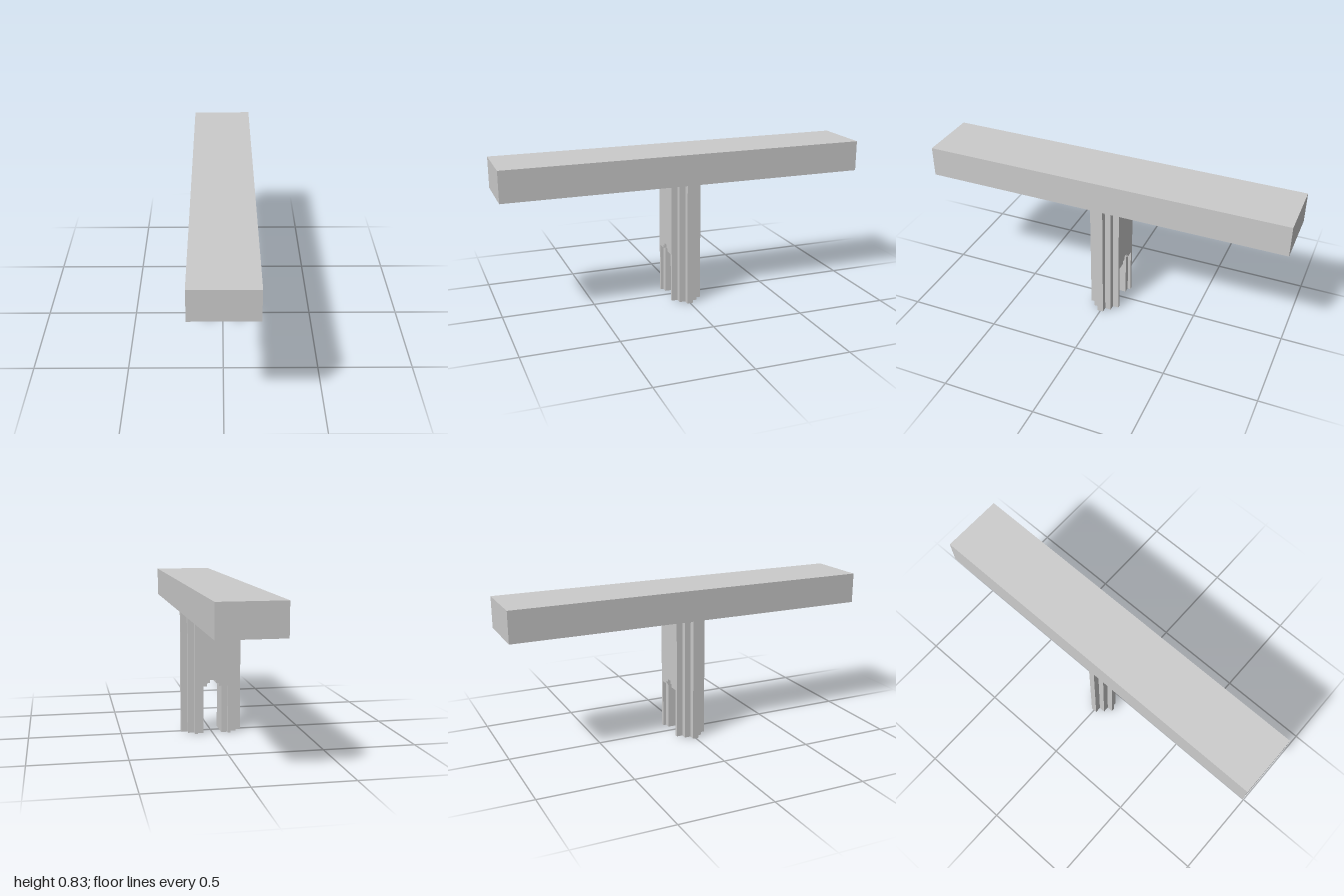
import * as THREE from 'three';

const U = 1 / 60; // module on which every dimension is laid out
const material = new THREE.MeshStandardMaterial({ color: 0xcccccc, flatShading: true });

function add(group, name, geometry, x = 0, y = 0, z = 0) {
  const mesh = new THREE.Mesh(geometry, material);
  mesh.name = name;
  mesh.position.set(x * U, y * U, z * U);
  group.add(mesh);
}

const box = (w, h, d) => new THREE.BoxGeometry(w * U, h * U, d * U);

export function createModel() {
  const model = new THREE.Group();
  model.name = 'beamOnPier';

  // Long beam across the top
  add(model, 'beam', box(20, 10, 120), 0, 45, 0);

  // Pier core with a stepped archway cut through it
  const half = [[6, 40], [6, 0], [5, 0], [5, 16], [2, 16], [2, 17], [1, 17], [1, 18]];
  const outline = [...half, ...half.map(([x, y]) => [-x, y]).reverse()];
  const shape = new THREE.Shape(outline.map(([x, y]) => new THREE.Vector2(x * U, y * U)));
  const core = new THREE.ExtrudeGeometry(shape, { depth: 10 * U, bevelEnabled: false });
  add(model, 'pierCore', core, 0, 0, -5);

  for (const [side, s] of [['left', 1], ['right', -1]]) {
    // Recessed jamb lining the archway
    add(model, side + 'Jamb', box(2, 16, 8), s * 4, 8, 0);
    // Stepped ribs narrowing outwards
    add(model, side + 'InnerRib', box(2, 40, 6), s * 7, 20, 0);
    add(model, side + 'OuterRib', box(2, 40, 2), s * 9, 20, 0);
  }
  return model;
}
